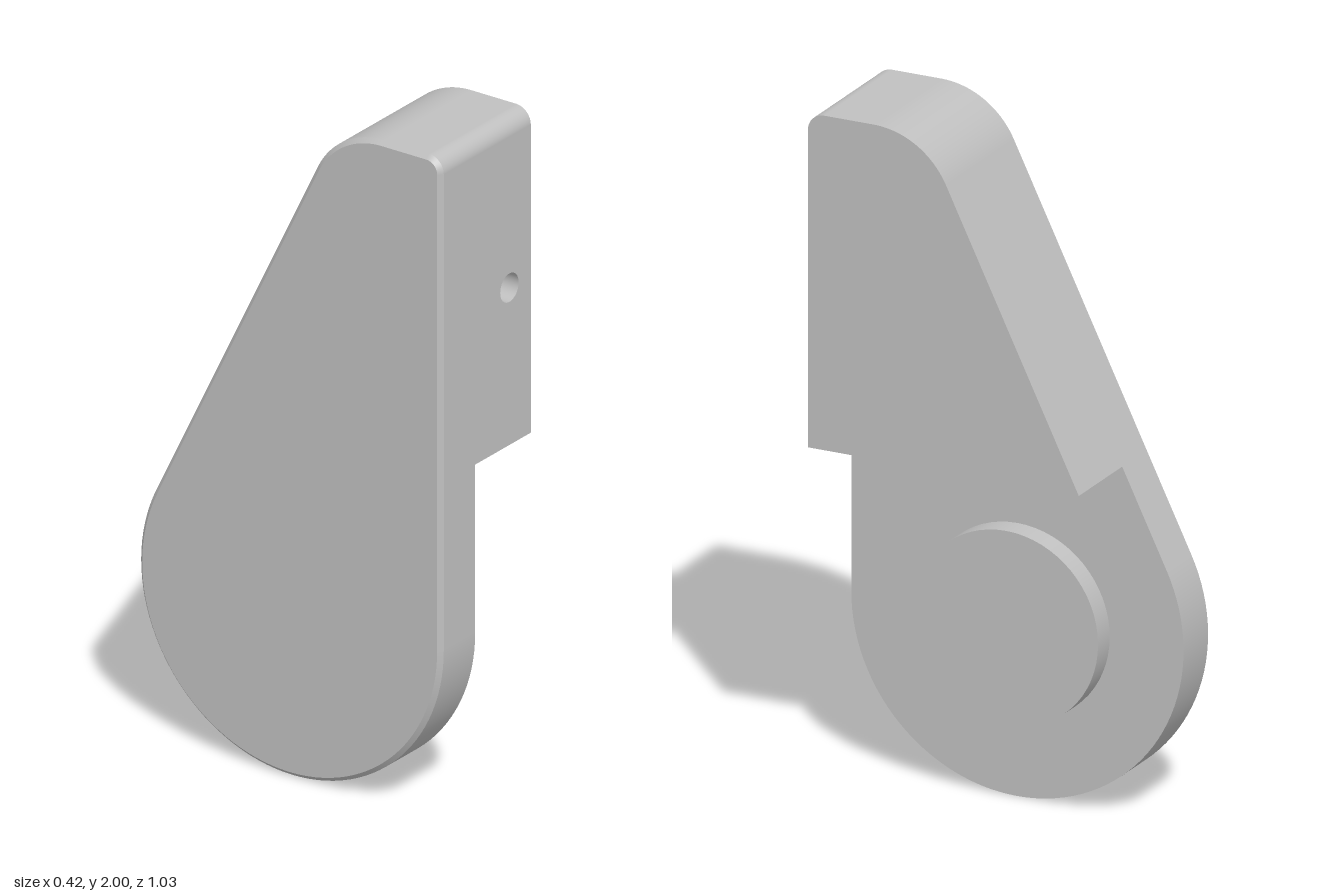
import * as THREE from 'three';

// Side outline lives in (u, y) with u = -z; thickness runs along x.
const R = 0.513, BETA = 0.454;                 // round end radius, slope normal angle
const X0 = -0.21, X1 = -0.05, X2 = 0.21;       // outer face, ledge, inner face
const BEVEL = 0.013, STEP_Y = 1.02;
const slopeU = (y, gap) => (R - gap - (y - R) * Math.sin(BETA)) / Math.cos(BETA);

const ROUND_END = { u: 0, y: R, r: R, a0: Math.PI, a1: 2 * Math.PI + BETA, n: 64 };
const SHOULDER = { u: slopeU(1.75, 0.25), y: 1.75, r: 0.25, a0: BETA, a1: Math.PI / 2, n: 20 };
const CORNER = { u: -R + 0.05, y: 1.95, r: 0.05, a0: Math.PI / 2, a1: Math.PI, n: 12 };

// Points with outward normals along a list of arcs, counter-clockwise
function trace(arcs, inset = 0) {
  const pts = [];
  for (const c of arcs) {
    for (let i = 0; i <= c.n; i++) {
      const a = c.a0 + (c.a1 - c.a0) * i / c.n;
      const nu = Math.cos(a), ny = Math.sin(a);
      pts.push({ u: c.u + (c.r - inset) * nu, y: c.y + (c.r - inset) * ny, nu, ny });
    }
  }
  return pts;
}

// Smooth wall between two matching outlines; tilt leans the normals along x
function wall(from, to, xa, xb, tilt = 0) {
  const pos = [], nor = [], idx = [], k = Math.sqrt(1 - tilt * tilt);
  from.forEach((p, i) => {
    const q = to[i];
    pos.push(xa, p.y, -p.u, xb, q.y, -q.u);
    for (let j = 0; j < 2; j++) nor.push(tilt, p.ny * k, -p.nu * k);
    if (i > 0) {
      const a = 2 * i - 2, b = 2 * i;
      idx.push(a, b, b + 1, a, b + 1, a + 1);
    }
  });
  const g = new THREE.BufferGeometry();
  g.setAttribute('position', new THREE.Float32BufferAttribute(pos, 3));
  g.setAttribute('normal', new THREE.Float32BufferAttribute(nor, 3));
  g.setIndex(idx);
  return g;
}

// Flat face across x, facing side = +1 or -1
function cap(pts, x, side) {
  const shape = new THREE.Shape(pts.map(p => new THREE.Vector2(p.u * side, p.y)));
  return new THREE.ShapeGeometry(shape).rotateY(side * Math.PI / 2).translate(x, 0, 0);
}

export function createModel() {
  const group = new THREE.Group();
  const metal = new THREE.MeshStandardMaterial({ color: 0xc0c0c0, side: THREE.DoubleSide });
  metal.name = 'grey metal';
  const add = (name, geometry) => {
    const mesh = new THREE.Mesh(geometry, metal);
    mesh.name = name;
    group.add(mesh);
  };

  const arcs = [ROUND_END, SHOULDER, CORNER];
  const outer = trace(arcs), inner = trace(arcs, BEVEL);
  const slopeStart = { u: slopeU(STEP_Y, 0), y: STEP_Y, nu: Math.cos(BETA), ny: Math.sin(BETA) };
  const frontStep = { u: -R, y: STEP_Y };
  const upper = [slopeStart, ...trace([SHOULDER, CORNER])];

  // Teardrop plate with a bevelled outer rim
  add('plateOuterFace', cap(inner, X0, -1));
  add('plateBevel', wall([...inner, inner[0]], [...outer, outer[0]], X0, X0 + BEVEL, -Math.SQRT1_2));
  add('plateRim', wall(outer, outer, X0 + BEVEL, X1));
  add('plateLedge', cap([...trace([ROUND_END]), slopeStart, frontStep], X1, 1));

  // Thick upper block
  add('blockRim', wall(upper, upper, X1, X2));
  add('blockInnerFace', cap([...upper, frontStep], X2, 1));
  const shelfDepth = slopeStart.u + R;
  add('blockUnderside', new THREE.PlaneGeometry(X2 - X1, shelfDepth).rotateX(Math.PI / 2)
    .translate((X1 + X2) / 2, STEP_Y, R - shelfDepth / 2));

  // L-shaped front face with a blind pin hole
  const front = new THREE.Shape([
    [X0 + BEVEL, R], [X1, R], [X1, STEP_Y], [X2, STEP_Y], [X2, CORNER.y], [X0 + BEVEL, CORNER.y],
  ].map(([x, y]) => new THREE.Vector2(x, y)));
  const hole = { x: 0.11, y: 1.495, r: 0.043, depth: 0.2 };
  front.holes.push(new THREE.Path().absarc(hole.x, hole.y, hole.r, 0, Math.PI * 2, true));
  add('frontFace', new THREE.ShapeGeometry(front, 32).translate(0, 0, R));
  add('pinHoleWall', new THREE.CylinderGeometry(hole.r, hole.r, hole.depth, 64, 1, true)
    .rotateX(Math.PI / 2).translate(hole.x, hole.y, R - hole.depth / 2));
  add('pinHoleFloor', new THREE.CircleGeometry(hole.r, 64).translate(hole.x, hole.y, R - hole.depth));

  // Round boss on the ledge
  const bossHeight = 0.07;
  add('pivotBoss', new THREE.CylinderGeometry(0.285, 0.285, bossHeight, 64)
    .rotateZ(-Math.PI / 2).translate(X1 + bossHeight / 2, R + 0.002, 0));

  return group;
}
